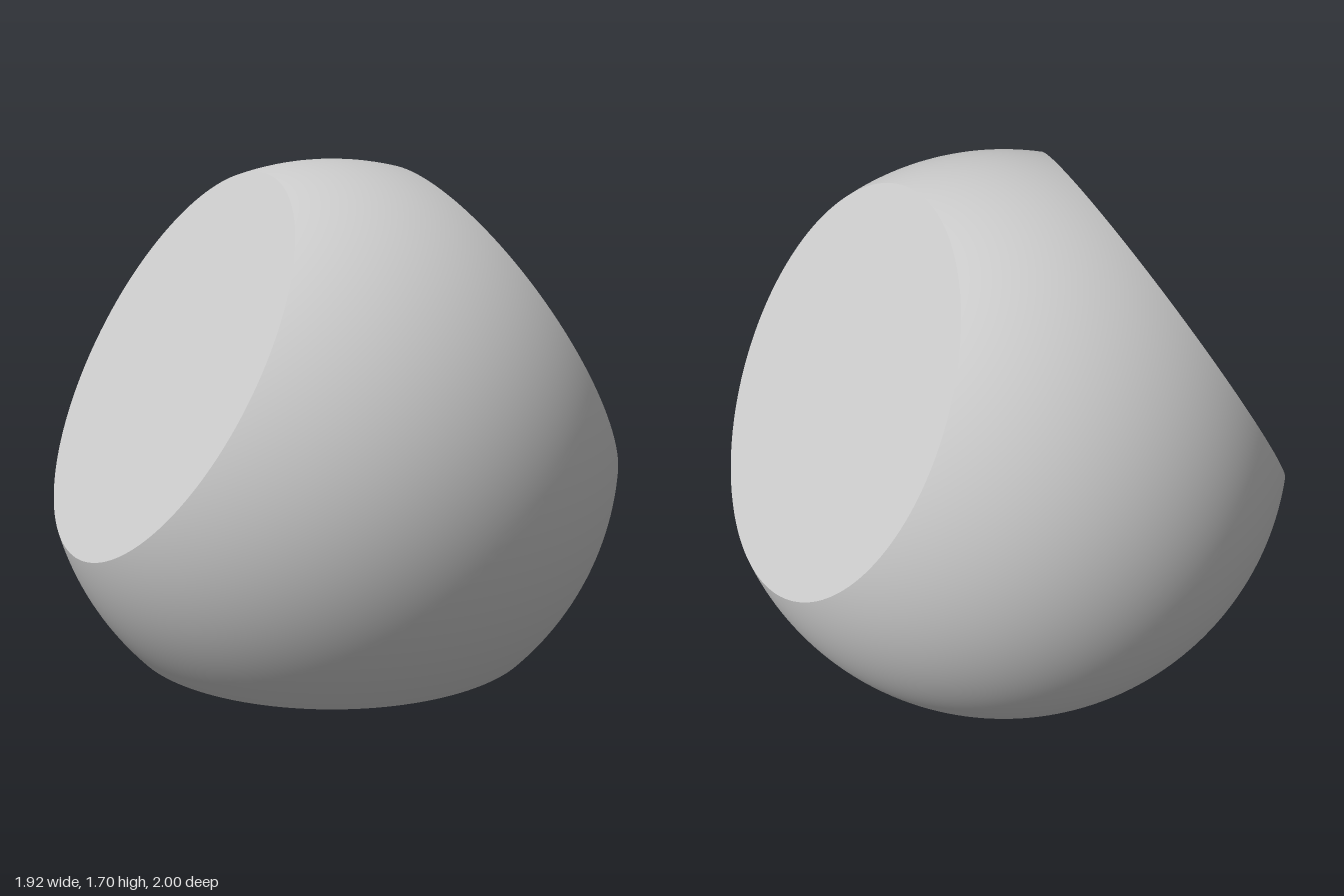
import * as THREE from 'three';

const CUT = 0.697; // distance from the ball's centre to each flat face
const RIM = Math.sqrt(1 - CUT * CUT); // radius of each flat face
const SEGMENTS = 144;

// One third of the unit ball around local +z, from the flat's rim out to the
// two planes where it meets its neighbours (local y is the shared axis).
function curvedThird() {
  const geo = new THREE.RingGeometry(1, 2, SEGMENTS, 20);
  const pos = geo.attributes.position;
  const inner = Math.acos(CUT);
  for (let i = 0; i < pos.count; i++) {
    const x = pos.getX(i), y = pos.getY(i);
    const r = Math.hypot(x, y), c = x / r, s = y / r;
    const outer = Math.atan2(Math.sqrt(3), Math.abs(c));
    const theta = THREE.MathUtils.lerp(inner, outer, r - 1);
    pos.setXYZ(i, Math.sin(theta) * c, Math.sin(theta) * s, Math.cos(theta));
  }
  geo.setAttribute('normal', pos.clone()); // smooth ball normals
  return geo;
}

export function createModel() {
  const model = new THREE.Group();
  model.name = 'threeSidedDie';
  const material = new THREE.MeshStandardMaterial({ color: 0xcccccc });

  const curved = curvedThird();
  const flat = new THREE.CircleGeometry(RIM, SEGMENTS).translate(0, 0, CUT);
  const axis = new THREE.Vector3(0, 0, 1);

  // Three identical sectors, 120 degrees apart around the z axis
  [['right', 150], ['left', 30], ['bottom', -90]].forEach(([side, degrees]) => {
    const a = THREE.MathUtils.degToRad(degrees);
    const normal = new THREE.Vector3(Math.cos(a), Math.sin(a), 0);
    const tangent = new THREE.Vector3().crossVectors(axis, normal);
    const sector = new THREE.Group();
    sector.name = side + 'Sector';
    sector.quaternion.setFromRotationMatrix(new THREE.Matrix4().makeBasis(tangent, axis, normal));
    sector.position.y = CUT;

    const shell = new THREE.Mesh(curved, material);
    shell.name = side + 'CurvedShell';
    const face = new THREE.Mesh(flat, material);
    face.name = side + 'FlatFace';
    sector.add(shell, face);
    model.add(sector);
  });

  return model;
}
